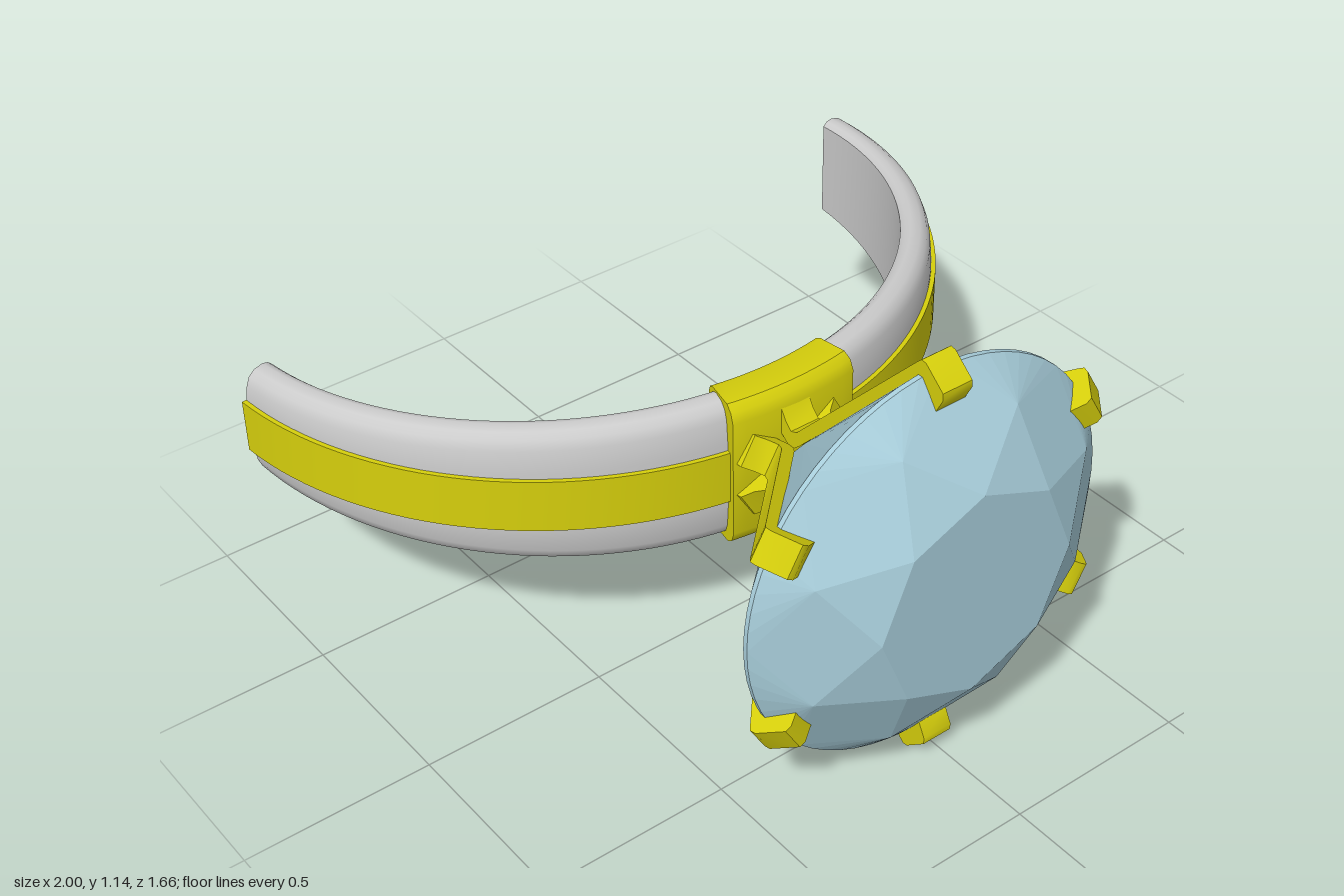
import * as THREE from 'three';
import { toCreasedNormals } from 'three/addons/utils/BufferGeometryUtils.js';

const MID_Y = 0.583, GEM_X = -0.016, RING_Z = -0.84;
const END_LEFT = 1.56, END_RIGHT = -1.49;

const material = (color) => new THREE.MeshStandardMaterial({ color });
const gold = material(0xd6cf0c), grey = material(0xcccccc), blue = material(0xa9cfdc);

function fromTriangles(points) {
  const g = new THREE.BufferGeometry();
  g.setAttribute('position', new THREE.Float32BufferAttribute(points, 3));
  g.computeVertexNormals();
  return g;
}

// Sweeps a convex [radius, height] outline around the finger axis, with capped ends
function sweepBand(profileAt, a0, a1, steps) {
  const rings = [];
  for (let i = 0; i <= steps; i++) {
    const a = a0 + ((a1 - a0) * i) / steps;
    rings.push(profileAt(a).map(([r, y]) => [r * Math.sin(a), MID_Y + y, RING_Z + r * Math.cos(a)]));
  }
  const out = [], n = rings[0].length;
  const tri = (...p) => out.push(...p.flat());
  for (let i = 0; i < steps; i++) {
    for (let j = 0; j < n; j++) {
      const k = (j + 1) % n, A = rings[i], B = rings[i + 1];
      tri(A[j], B[j], B[k]);
      tri(A[j], B[k], A[k]);
    }
  }
  const first = rings[0], last = rings[steps];
  for (let j = 1; j < n - 1; j++) {
    tri(first[0], first[j], first[j + 1]);
    tri(last[0], last[j + 1], last[j]);
  }
  return toCreasedNormals(fromTriangles(out), 0.55);
}

// Mirrors the upper half of an outline to close it, counter-clockwise
const mirrored = (upper) => [...upper.map(([r, y]) => [r, -y]).reverse(), ...upper];

const shankProfile = (a) => {
  const h = 0.152 + 0.053 * Math.cos(a);
  return mirrored([
    [0.988, h * 0.45], [0.982, h - 0.045], [0.972, h - 0.02], [0.955, h - 0.006],
    [0.93, h], [0.915, h - 0.004], [0.903, h - 0.016],
  ]);
};
const stripeProfile = () => mirrored([[1, 0.073], [0.92, 0.073]]);
const claspProfile = () => mirrored([
  [1.015, 0.165], [1.005, 0.192], [0.985, 0.208], [0.91, 0.21], [0.896, 0.204], [0.889, 0.185],
]);

// One side of a round brilliant: centre facet (or point), kites, and girdle facets
function gemSide(out, dir, innerR, innerZ, midR, girdleR, girdleZ) {
  const at = (r, k, z) => [r * Math.cos((k * Math.PI) / 4), r * Math.sin((k * Math.PI) / 4), z];
  const slope = (girdleZ - innerZ) / (girdleR - innerR);
  const midZ = innerZ + slope * (midR * Math.cos(Math.PI / 8) - innerR);
  const tri = (a, b, c) => out.push(...a, ...(dir > 0 ? b : c), ...(dir > 0 ? c : b));
  for (let k = 0; k < 8; k++) {
    const t0 = at(innerR, k, innerZ), t1 = at(innerR, k + 1, innerZ);
    const m0 = at(midR, k - 0.5, midZ), m1 = at(midR, k + 0.5, midZ);
    const g = at(girdleR, k, girdleZ);
    if (innerR > 0) {
      tri([0, 0, innerZ], t0, t1); // table
      tri(t0, m1, t1); // star facet
    }
    tri(t0, m0, g); // kite
    tri(t0, g, m1);
    const steps = 8;
    for (let s = 0; s < steps; s++) {
      tri(m1, at(girdleR, k + s / steps, girdleZ), at(girdleR, k + (s + 1) / steps, girdleZ));
    }
  }
}

export function createModel() {
  const model = new THREE.Group();
  const add = (name, geometry, mat, parent = model) => {
    const mesh = new THREE.Mesh(geometry, mat);
    mesh.name = name;
    parent.add(mesh);
    return mesh;
  };

  // Half band with an inlaid stripe and the clasp around its front
  add('band', sweepBand(shankProfile, END_RIGHT, END_LEFT, 72), grey);
  add('bandStripe', sweepBand(stripeProfile, END_RIGHT - 0.002, END_LEFT + 0.002, 72), gold);
  add('clasp', sweepBand(claspProfile, -0.19, 0.174, 10), gold);

  const setting = new THREE.Group();
  setting.name = 'setting';
  setting.position.set(GEM_X, MID_Y, 0);
  model.add(setting);

  // Faceted stone: crown, pavilion and thin girdle
  const facets = [];
  gemSide(facets, 1, 0.285, 0.828, 0.44, 0.527, 0.655);
  gemSide(facets, -1, 0, 0.16, 0.13, 0.527, 0.642);
  const stone = blue.clone();
  stone.flatShading = true;
  add('gem', fromTriangles(facets), stone, setting);
  const girdle = new THREE.CylinderGeometry(0.527, 0.527, 0.013, 64, 1, true);
  girdle.rotateX(Math.PI / 2).translate(0, 0, 0.6485);
  add('gemGirdle', girdle, blue, setting);

  // Six bent prongs: outline in (radius, z), extruded across its width
  const outline = new THREE.Shape([
    [0.09, 0.14], [0.17, 0.14], [0.165, 0.172], [0.135, 0.19], [0.117, 0.21], [0.125, 0.23],
    [0.558, 0.638], [0.569, 0.65], [0.566, 0.665], [0.518, 0.722], [0.5, 0.723], [0.456, 0.7],
    [0.522, 0.652], [0.522, 0.645], [0.09, 0.24], [0.072, 0.22], [0.072, 0.2], [0.09, 0.175],
  ].map(([r, z]) => new THREE.Vector2(r, z)));
  const width = 0.085;
  const prong = new THREE.ExtrudeGeometry(outline, { depth: width, bevelEnabled: false });
  prong.translate(0, 0, -width / 2).rotateX(Math.PI / 2);
  const prongShape = toCreasedNormals(prong, 0.6);
  for (let i = 0; i < 6; i++) {
    add('prong' + (i + 1), prongShape, gold, setting).rotation.z = Math.PI / 6 + (i * Math.PI) / 3;
  }

  return model;
}
